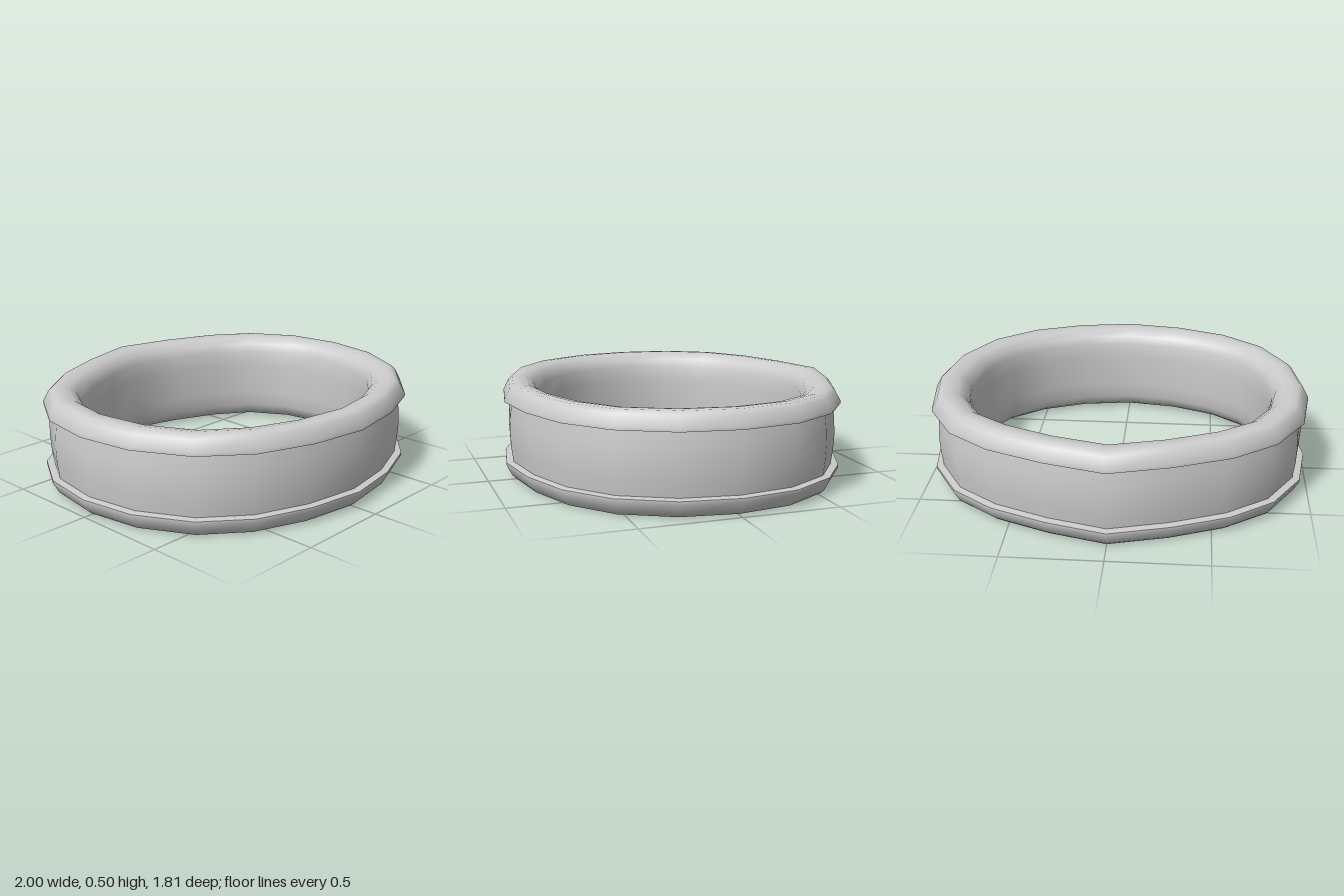
import * as THREE from 'three';
import { toCreasedNormals } from 'three/addons/utils/BufferGeometryUtils.js';

// Right half of the plan, back tip to front: [inner x, inner z, outer x, outer z]
const half = [
  [0, -0.705, 0, -0.908], [0.255, -0.636, 0.305, -0.825], [0.476, -0.54, 0.59, -0.71],
  [0.655, -0.42, 0.808, -0.547], [0.762, -0.235, 0.955, -0.302], [0.802, -0.01, 1, -0.005],
  [0.762, 0.235, 0.955, 0.29], [0.655, 0.445, 0.808, 0.563], [0.476, 0.583, 0.588, 0.748],
  [0.255, 0.674, 0.308, 0.855], [0, 0.711, 0, 0.904],
];
const plan = [
  ...half,
  ...half.slice(1, -1).reverse().map(([ix, iz, ox, oz]) => [-ix, iz, -ox, oz]),
];

// Sweeps a profile of [t, y] points round the plan; t = 0 is inside, t = 1 outside
function sweep(name, profile) {
  const n = plan.length, positions = [], index = [];
  profile.forEach(([t, y], i) => {
    plan.forEach(([ix, iz, ox, oz], j) => {
      positions.push(ix + (ox - ix) * t, y, iz + (oz - iz) * t);
      if (i === profile.length - 1) return;
      const a = i * n + j, b = i * n + (j + 1) % n;
      index.push(a, b, b + n, a, b + n, a + n);
    });
  });
  const geometry = new THREE.BufferGeometry();
  geometry.setAttribute('position', new THREE.Float32BufferAttribute(positions, 3));
  geometry.setIndex(index);
  const material = new THREE.MeshStandardMaterial({ color: 0xcccccc, side: THREE.DoubleSide });
  const mesh = new THREE.Mesh(toCreasedNormals(geometry, 0.95), material);
  mesh.name = name;
  return mesh;
}

export function createModel() {
  const group = new THREE.Group();
  group.name = 'ring';

  // Inner wall, rounded lip and flared rim; the lower half mirrors the upper
  const upper = [
    [0, 0.34], [0.03, 0.42], [0.12, 0.465], [0.32, 0.492], [0.55, 0.5],
    [0.74, 0.498], [0.84, 0.48], [0.99, 0.425], [0.99, 0.41], [0.8, 0.405],
  ];
  const lower = upper.map(([t, y]) => [t, 0.5 - y]).reverse();
  group.add(sweep('innerWallAndRims', [...lower, ...upper]));

  // Slightly bulged outer band between the rims
  group.add(sweep('outerBand', [
    [0.8, 0.41], [0.85, 0.33], [0.87, 0.25], [0.85, 0.17], [0.8, 0.09],
  ]));
  return group;
}
